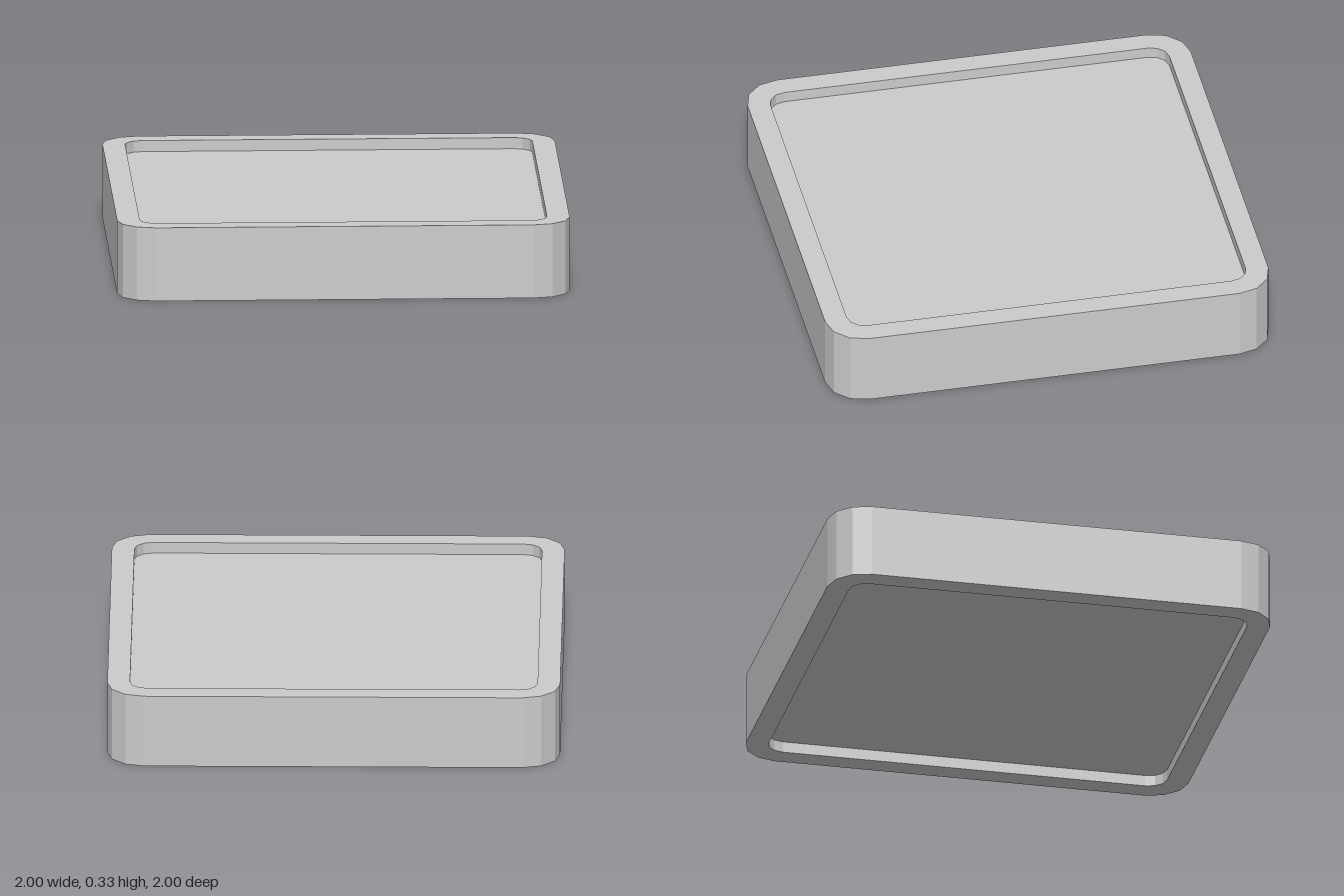
import * as THREE from 'three';

const HEIGHT = 0.33;
const RECESS = 0.05;

// Corner points of a square with faceted round corners
function roundedSquare(half, radius, segments) {
  const points = [];
  for (let corner = 0; corner < 4; corner++) {
    const start = corner * Math.PI / 2;
    const cx = (corner === 0 || corner === 3 ? 1 : -1) * (half - radius);
    const cy = (corner < 2 ? 1 : -1) * (half - radius);
    for (let i = 0; i <= segments; i++) {
      const a = start + (i / segments) * Math.PI / 2;
      points.push(new THREE.Vector2(cx + radius * Math.cos(a), cy + radius * Math.sin(a)));
    }
  }
  return points;
}

// Upright slab from a flat outline, from height y0 to y1
function slab(name, shape, y0, y1, material) {
  const geometry = new THREE.ExtrudeGeometry(shape, { depth: y1 - y0, bevelEnabled: false });
  geometry.rotateX(-Math.PI / 2);
  geometry.translate(0, y0, 0);
  const mesh = new THREE.Mesh(geometry, material);
  mesh.name = name;
  return mesh;
}

export function createModel() {
  const group = new THREE.Group();
  group.name = 'squareTray';
  const material = new THREE.MeshStandardMaterial({ color: 0xcccccc, flatShading: true });

  const inner = roundedSquare(0.9, 0.08, 3);

  // Outer frame with a full-height opening
  const frame = new THREE.Shape(roundedSquare(1, 0.165, 3));
  frame.holes.push(new THREE.Path(inner));
  group.add(slab('frame', frame, 0, HEIGHT, material));

  // Panel filling the opening, set back from the rim above and below
  group.add(slab('panel', new THREE.Shape(inner), RECESS, HEIGHT - RECESS, material));

  return group;
}
